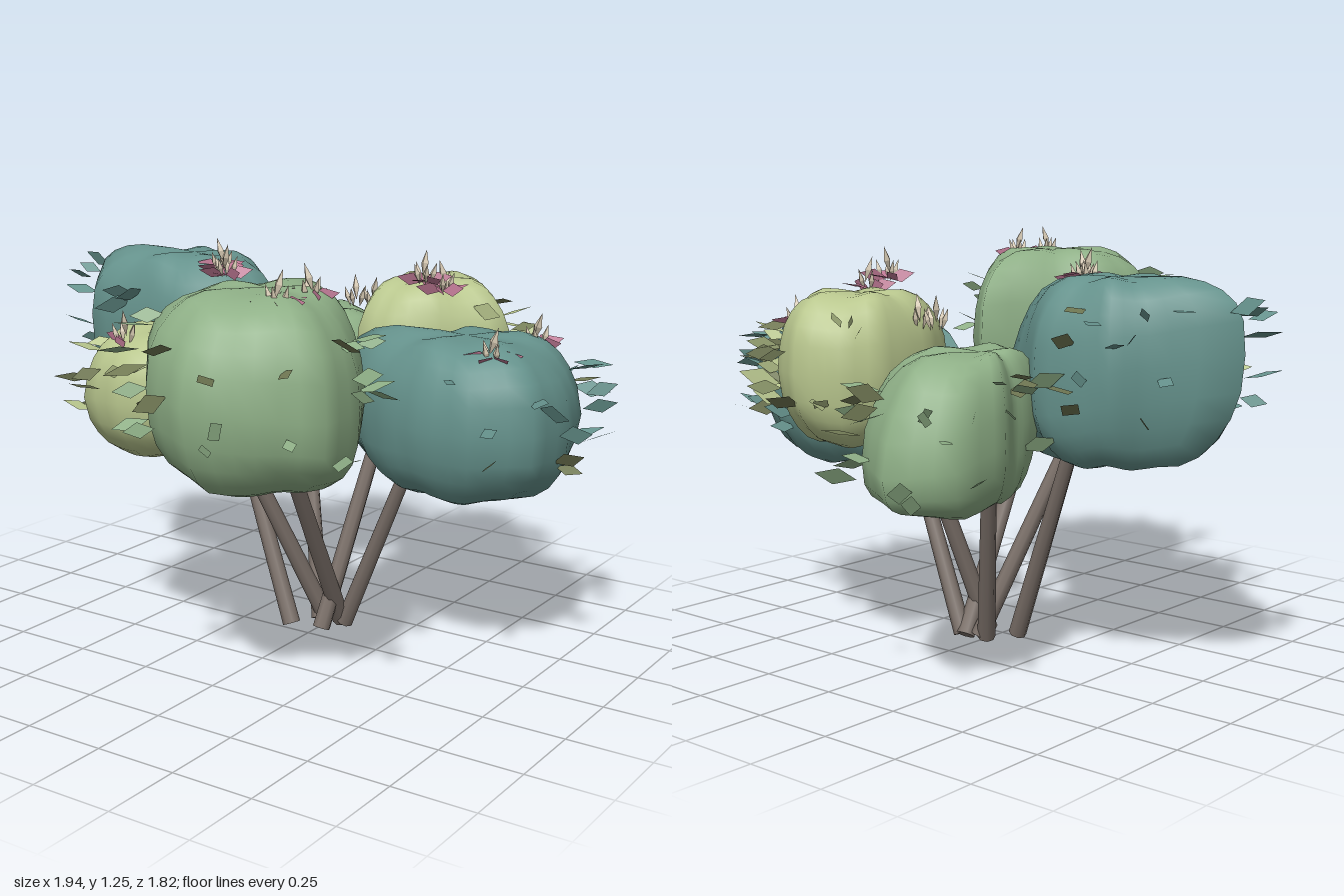
import * as THREE from 'three';
import { mergeVertices } from 'three/addons/utils/BufferGeometryUtils.js';

const mat = (name, color, side = THREE.FrontSide) => {
  const m = new THREE.MeshStandardMaterial({ color, side });
  m.name = name;
  return m;
};

// small seeded random
let seed = 7;
const range = (a, b) => {
  seed = (seed * 16807) % 2147483647;
  return a + ((b - a) * seed) / 2147483647;
};

// radius of a clump's plan outline: straight edges between equally spaced corners
function planRadius(radii, theta) {
  const n = radii.length, step = (Math.PI * 2) / n;
  const turn = ((theta / step) % n + n) % n;
  const i = Math.floor(turn) % n, a = (turn - Math.floor(turn)) * step;
  return Math.sin(step) / (Math.sin(step - a) / radii[i] + Math.sin(a) / radii[(i + 1) % n]);
}

// point on a foliage clump: theta around, phi down from the top
function clumpPoint({ pole, y, lean, radii }, theta, phi) {
  const cos = Math.cos(phi);
  const s = Math.pow(Math.max(0, Math.sin(phi)), 0.74);
  const v = Math.sign(cos) * Math.pow(Math.abs(cos), 0.74);
  const crease = 0.035 * (1 - Math.sin(3 * theta + 2.2 * phi + pole[0] * 20)) * Math.abs(Math.sin(2 * phi));
  const r = planRadius(radii, theta) * s * (1 - crease);
  const x = r * Math.cos(theta), z = r * Math.sin(theta);
  const tilt = (lean[0] * x + lean[1] * z) * (1 - v * v);
  const pucker = 0.025 * Math.pow(Math.abs(cos), 12) * Math.sign(cos);
  const ripple = 0.014 * Math.sin(5 * theta + pole[1] * 9) * s * Math.abs(v);
  const height = (y[0] + y[1]) / 2 + (v * (y[1] - y[0])) / 2;
  return new THREE.Vector3(pole[0] + x, height + tilt - pucker + ripple, pole[1] + z);
}

function clumpGeometry(c) {
  let g = new THREE.SphereGeometry(1, 36, 14);
  g.deleteAttribute('uv');
  g.deleteAttribute('normal');
  g = mergeVertices(g, 1e-4);
  const p = g.attributes.position;
  for (let i = 0; i < p.count; i++) {
    const phi = Math.acos(THREE.MathUtils.clamp(p.getY(i), -1, 1));
    const q = clumpPoint(c, Math.atan2(p.getZ(i), p.getX(i)), phi);
    p.setXYZ(i, q.x, q.y, q.z);
  }
  g.computeVertexNormals();
  return g;
}

// diamond blade of length 1 along +y
function diamond(width) {
  const corners = [[0, 0], [width / 2, 0.5], [0, 1], [-width / 2, 0.5]];
  return new THREE.ShapeGeometry(new THREE.Shape(corners.map(([x, y]) => new THREE.Vector2(x, y))));
}

const UP = new THREE.Vector3(0, 1, 0);

function placeBlade(parent, name, geo, material, at, dir, length, roll) {
  const m = new THREE.Mesh(geo, material);
  m.name = name;
  m.position.copy(at);
  m.quaternion.setFromUnitVectors(UP, dir.clone().normalize());
  m.rotateY(roll);
  m.scale.setScalar(length);
  parent.add(m);
}

export function createModel() {
  seed = 7;
  const foliage = (name, color) => ({ body: mat(`${name} foliage`, color), leaf: mat(`${name} leaf`, color, THREE.DoubleSide) });
  const teal = foliage('teal', 0x66938d), green = foliage('green', 0x8fb087), lime = foliage('lime', 0xb9c78e);
  const olive = mat('olive leaf', 0x727a55, THREE.DoubleSide);
  const pink = mat('pink petal', 0xc07a96, THREE.DoubleSide);
  const wood = mat('wood', 0x7b7069), cream = mat('cream bud', 0xd6c9b2);

  const root = new THREE.Group();
  root.name = 'shrub';
  const leafGeo = diamond(0.46), petalGeo = diamond(0.5);
  const budGeo = new THREE.OctahedronGeometry(1).scale(0.3, 1, 0.3);

  // one clump with its stem and loose leaves
  function addClump(name, colours, pole, y, lean, foot, radii) {
    const c = { pole, y, lean, radii };
    const group = new THREE.Group();
    group.name = name;
    root.add(group);
    const body = new THREE.Mesh(clumpGeometry(c), colours.body);
    body.name = 'foliage';
    group.add(body);

    // stem from the foot into the underside
    const a = new THREE.Vector3(foot[0], 0.022, foot[1]);
    const b = new THREE.Vector3(pole[0] * 0.66, y[0] + 0.08, pole[1] * 0.66);
    const stem = new THREE.Mesh(new THREE.CylinderGeometry(0.022, 0.028, a.distanceTo(b), 8), wood);
    stem.name = 'stem';
    stem.position.copy(a).lerp(b, 0.5);
    stem.quaternion.setFromUnitVectors(UP, b.clone().sub(a).normalize());
    group.add(stem);

    // leaves on the outer side
    const outward = Math.atan2(pole[1], pole[0]);
    for (let i = 0; i < 24; i++) {
      const theta = outward + range(-1.5, 1.5);
      const at = clumpPoint(c, theta, range(0.95, 1.95));
      const dir = new THREE.Vector3(Math.cos(theta), range(-0.2, 0.4), Math.sin(theta));
      at.addScaledVector(dir, range(-0.02, 0.025));
      placeBlade(group, 'leaf', leafGeo, i % 4 === 0 ? olive : colours.leaf, at, dir, range(0.08, 0.125), range(0, Math.PI));
    }
  }

  // pole, height range, lean, stem foot, plan radii from +x towards +z
  addClump('rightTealClump', teal, [-0.54, -0.14], [0.61, 1.18], [-0.18, 0], [-0.07, -0.01],
    [0.4, 0.36, 0.26, 0.22, 0.24, 0.34, 0.41, 0.22, 0.22, 0.21, 0.25, 0.27]);
  addClump('leftTealClump', teal, [0.47, -0.12], [0.51, 1.02], [0, 0], [0.06, -0.12],
    [0.335, 0.36, 0.32, 0.28, 0.27, 0.31, 0.44, 0.19, 0.21, 0.28, 0.3, 0.34]);
  addClump('backGreenClump', green, [-0.29, -0.43], [0.52, 0.98], [0, 0.25], [-0.02, -0.1],
    [0.28, 0.27, 0.25, 0.2, 0.17, 0.13, 0.12, 0.2, 0.34, 0.39, 0.34, 0.31]);
  addClump('backLimeClump', lime, [0.17, -0.43], [0.64, 1.12], [0, 0], [0.03, -0.03],
    [0.29, 0.21, 0.21, 0.24, 0.26, 0.21, 0.19, 0.22, 0.25, 0.27, 0.25, 0.24]);
  addClump('frontLimeClump', lime, [-0.28, 0.23], [0.61, 1.03], [0.05, 0], [0, -0.11],
    [0.33, 0.29, 0.31, 0.33, 0.33, 0.27, 0.2, 0.26, 0.27, 0.28, 0.3, 0.34]);
  addClump('frontGreenClump', green, [0.17, 0.46], [0.63, 1.21], [-0.12, 0], [0.04, -0.13],
    [0.3, 0.36, 0.35, 0.38, 0.35, 0.33, 0.26, 0.22, 0.24, 0.36, 0.28, 0.27]);

  // a ring of petals below a tuft of buds
  function addFlower(x, y, z, petals) {
    const flower = new THREE.Group();
    flower.name = 'flower';
    flower.position.set(x, y, z);
    root.add(flower);
    const turn = range(0, 6);
    for (let i = 0; i < petals; i++) {
      const t = turn + (i / petals) * Math.PI * 2;
      const dir = new THREE.Vector3(Math.cos(t), 0.2, Math.sin(t));
      placeBlade(flower, 'petal', petalGeo, pink, new THREE.Vector3(), dir, 0.085, range(-0.6, 0.6));
    }
    for (let i = 0; i < 5; i++) {
      const t = turn + i * 1.257, r = i === 0 ? 0 : 0.026;
      const bud = new THREE.Mesh(budGeo, cream);
      bud.name = 'bud';
      bud.position.set(r * Math.cos(t), i === 0 ? 0.055 : 0.025, r * Math.sin(t));
      bud.rotation.set(Math.sin(t) * 0.3, 0, -Math.cos(t) * 0.3);
      bud.scale.setScalar(i === 0 ? 0.042 : 0.034);
      flower.add(bud);
    }
  }

  // back lime and left teal clumps
  addFlower(0.27, 1.12, -0.22, 6);
  addFlower(0.31, 1.09, -0.26, 6);
  for (const z of [-0.26, 0.02]) addFlower(0.63, 0.96, z, 6);
  // right teal and front lime clumps
  addFlower(-0.3, 1.12, 0.01, 6);
  addFlower(-0.35, 1.13, -0.03, 6);
  addFlower(-0.32, 1.0, 0.05, 0);
  addFlower(-0.33, 0.98, 0.46, 3);
  // front green clump
  for (const z of [0.42, 0.56]) addFlower(0.28, 1.16, z, 6);
  // back green clump
  for (const x of [-0.06, 0.01]) addFlower(x, 1, -0.36, 0);
  return root;
}
